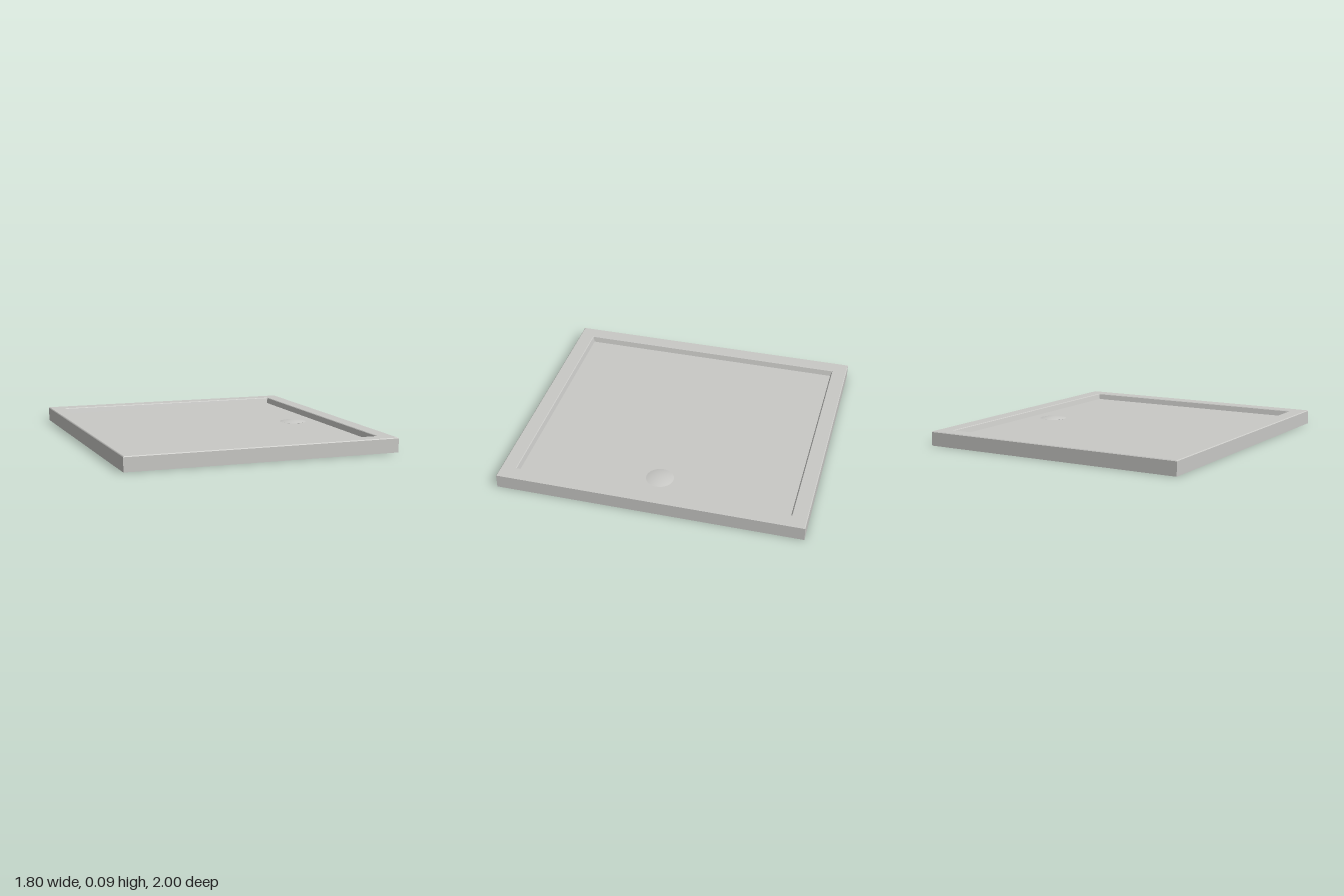
import * as THREE from 'three';

const DRAIN = { x: 0.62, z: -0.01 };
const FLOOR_Y = 0.056;

// Flat-faced skin joining rectangular rings of [halfX, halfZ, y]
function rectSkin(rings) {
  const corners = [[1, 1], [1, -1], [-1, -1], [-1, 1]];
  const pos = [];
  for (let i = 0; i < rings.length - 1; i++) {
    for (let k = 0; k < 4; k++) {
      const at = (ring, c) => [corners[c % 4][0] * ring[0], ring[2], corners[c % 4][1] * ring[1]];
      const a = at(rings[i], k), b = at(rings[i], k + 1);
      const c = at(rings[i + 1], k + 1), d = at(rings[i + 1], k);
      pos.push(...a, ...b, ...c, ...a, ...c, ...d);
    }
  }
  const geo = new THREE.BufferGeometry();
  geo.setAttribute('position', new THREE.Float32BufferAttribute(pos, 3));
  geo.computeVertexNormals();
  return geo;
}

export function createModel() {
  const tray = new THREE.Group();
  tray.name = 'showerTray';

  const acrylic = new THREE.MeshStandardMaterial({ color: 0xc9c9c6, side: THREE.DoubleSide });
  acrylic.name = 'light grey acrylic';
  const dark = new THREE.MeshStandardMaterial({ color: 0x2e2e2e, side: THREE.DoubleSide });
  dark.name = 'dark drain';

  const add = (parent, name, geo, mat) => {
    const mesh = new THREE.Mesh(geo, mat);
    mesh.name = name;
    parent.add(mesh);
    return mesh;
  };

  // Thin skirt, softened rim and sloping recess wall
  add(tray, 'rim', rectSkin([
    [0.9, 1, 0], [0.9, 1, 0.09], [0.895, 0.995, 0.095],
    [0.803, 0.903, 0.095], [0.799, 0.899, 0.091], [0.79, 0.89, FLOOR_Y],
  ]), acrylic);

  // Floor with the drain hole
  const floor = new THREE.Shape();
  floor.moveTo(-0.79, -0.89);
  floor.lineTo(0.79, -0.89);
  floor.lineTo(0.79, 0.89);
  floor.lineTo(-0.79, 0.89);
  floor.closePath();
  floor.holes.push(new THREE.Path().absarc(DRAIN.x, -DRAIN.z, 0.085, 0, Math.PI * 2, true));
  const floorGeo = new THREE.ShapeGeometry(floor, 24).rotateX(-Math.PI / 2).translate(0, FLOOR_Y, 0);
  add(tray, 'floor', floorGeo, acrylic);

  // Drain: shallow domed cover above, hollow collar below
  const drain = new THREE.Group();
  drain.name = 'drain';
  drain.position.set(DRAIN.x, 0, DRAIN.z);
  tray.add(drain);

  const dome = [];
  for (let i = 0; i <= 8; i++) {
    const t = i / 8;
    dome.push(new THREE.Vector2(0.09 * (1 - t), FLOOR_Y + 0.002 + 0.012 * (1 - (1 - t) ** 2)));
  }
  add(drain, 'drainCover', new THREE.LatheGeometry(dome, 48), acrylic);

  const tube = (r, y0, y1) =>
    new THREE.CylinderGeometry(r, r, y1 - y0, 48, 1, true).translate(0, (y0 + y1) / 2, 0);
  add(drain, 'collarOuter', tube(0.108, 0.008, FLOOR_Y), acrylic);
  add(drain, 'collarInner', tube(0.074, 0.008, 0.02), acrylic);
  add(drain, 'collarLip', new THREE.RingGeometry(0.074, 0.108, 48).rotateX(Math.PI / 2).translate(0, 0.008, 0), acrylic);
  add(drain, 'drainOpening', new THREE.CircleGeometry(0.074, 48).rotateX(Math.PI / 2).translate(0, 0.014, 0), dark);

  return tray;
}
